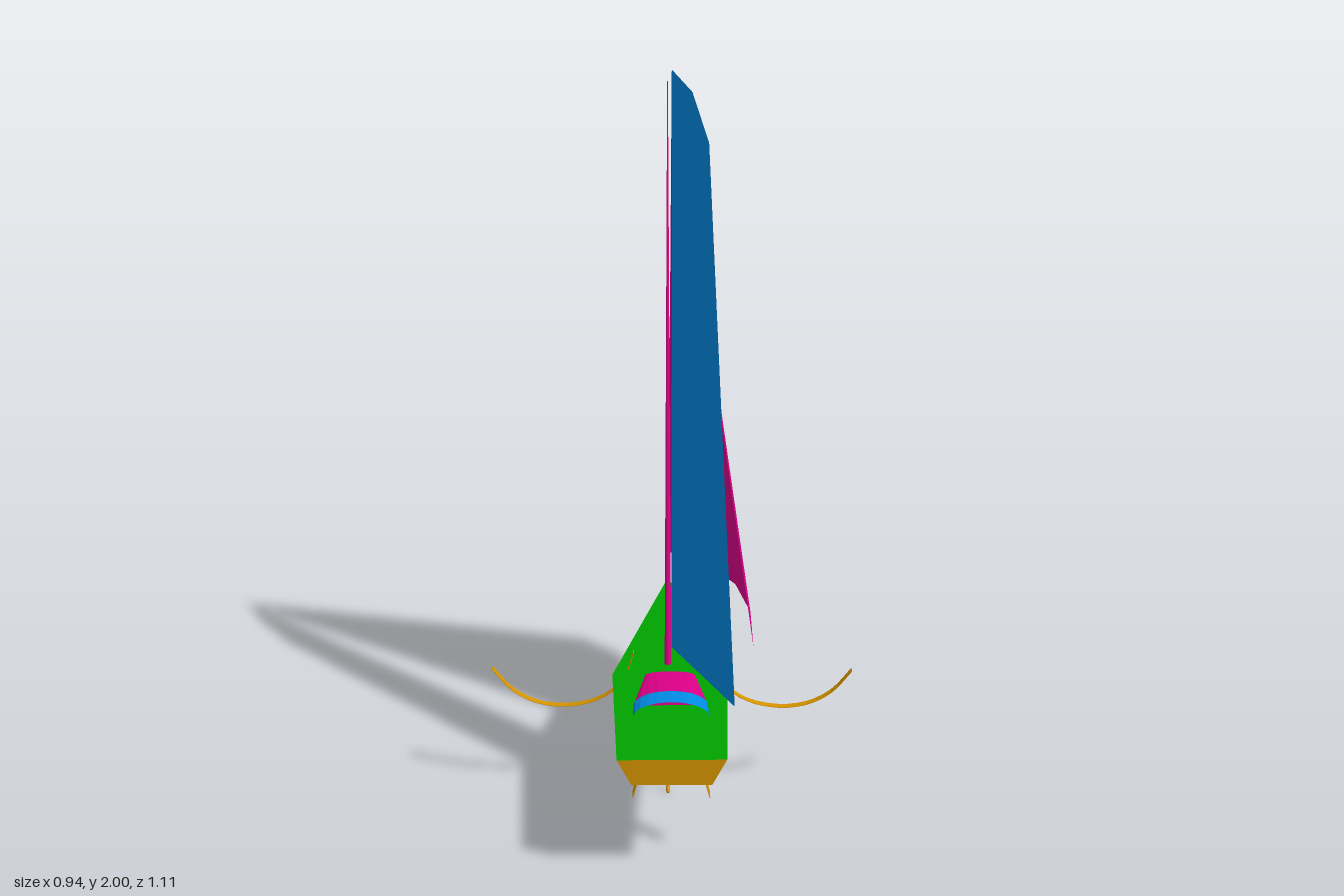
import * as THREE from 'three';

const mat = (name, color, side = THREE.FrontSide) => {
  const m = new THREE.MeshStandardMaterial({ color, side });
  m.name = name;
  return m;
};

// flat-shaded geometry from a list of corner points, three per face
function facets(points) {
  const g = new THREE.BufferGeometry();
  g.setAttribute('position', new THREE.Float32BufferAttribute(points.flat(), 3));
  g.computeVertexNormals();
  return g;
}

// triangles from the first point to each following pair
function fan(p) {
  const out = [];
  for (let i = 1; i < p.length - 1; i++) out.push(p[0], p[i], p[i + 1]);
  return out;
}

// skin between cross-sections running from +z to -z
function skin(sections) {
  const out = [];
  for (let i = 0; i < sections.length - 1; i++) {
    const s = sections[i], t = sections[i + 1];
    for (let j = 0; j < s.length - 1; j++) out.push(s[j], t[j], t[j + 1], s[j], t[j + 1], s[j + 1]);
  }
  return out;
}

export function createModel() {
  const group = new THREE.Group();
  const D = THREE.DoubleSide;
  const gold = mat('gold', 0xd69400, D);
  const green = mat('green', 0x00a500, D);
  const blue = mat('blue', 0x008ce4, D);
  const magenta = mat('magenta', 0xe2008c, D);
  const add = (name, geo, material) => {
    const m = new THREE.Mesh(geo, material);
    m.name = name;
    group.add(m);
    return m;
  };
  const cx = -0.005, deckY = 0.39;

  // hull: [z top, z bottom, half width top, half width bottom, bottom y]
  const stations = [
    [0.555, 0.55, 0.136, 0.1, 0.315],
    [0.132, 0.1, 0.15, 0.113, 0.293],
    [-0.385, -0.38, 0.007, 0.005, 0.3],
  ].map(([zt, zb, wt, wb, y]) => [
    [cx - wt, deckY, zt], [cx - wb, y, zb], [cx + wb, y, zb], [cx + wt, deckY, zt],
  ]);
  add('hull', facets([...skin(stations), ...fan(stations[0]), ...fan([...stations[2]].reverse())]), gold);

  // deck, drawn out to a thin bowsprit
  const bow = stations[2];
  add('deck', facets([
    ...skin(stations.map(s => [s[3], s[0]])),
    bow[3], [-0.003, deckY, -0.555], bow[0],
  ]), green);

  // mast
  const mast = add('mast', new THREE.CylinderGeometry(0.001, 0.009, 1.58, 10), magenta);
  mast.position.set(-0.01, 1.18, 0.074);

  // mainsail: upright and swung out to the left, corners given as [z, y]
  const head = [0, 2, 0.077];
  add('mainsail', facets(fan(
    [[0.077, 2], [0.183, 1.977], [0.267, 1.88], [0.42, 0.461], [0.077, 0.44]]
      .map(([z, y]) => [0.446 * (z - head[2]), y, z]),
  )), blue);

  // jib, fanned from the masthead
  add('jib', facets(fan([
    head, [0.215, 0.422, 0.047], [0.215, 0.415, -0.16], [0.18, 0.408, -0.335],
    [0.105, 0.402, -0.467], [-0.003, 0.397, -0.555],
  ])), magenta);

  // arched cabin with a rear wall set in under the open hood
  const arch = (z, w, h) => Array.from({ length: 11 }, (_, i) => {
    const a = Math.PI * i / 10;
    return [cx + w * Math.cos(a), deckY + h * Math.sin(a), z];
  });
  const rear = arch(0.29, 0.095, 0.042);
  add('cabin', facets([...skin([rear, arch(0.137, 0.065, 0.012)]), ...fan(rear)]), magenta);
  add('cabinHood', facets(skin([arch(0.347, 0.096, 0.042), rear])), blue);

  // curved side foils
  for (const s of [1, -1]) {
    const path = [[0.1, 0.44], [0.118, 0.38], [0.15, 0.33], [0.21, 0.292], [0.29, 0.277], [0.36, 0.288], [0.42, 0.323], [0.47, 0.385]];
    const curve = new THREE.CatmullRomCurve3(path.map(([x, y]) => new THREE.Vector3(s * x, y, 0)));
    const upper = [], lower = [];
    for (let i = 0; i <= 20; i++) {
      const p = curve.getPoint(i / 20), t = curve.getTangent(i / 20);
      upper.push(new THREE.Vector2(p.x - t.y * 0.0008, p.y + t.x * 0.0008));
      lower.unshift(new THREE.Vector2(p.x + t.y * 0.0008, p.y - t.x * 0.0008));
    }
    const geo = new THREE.ExtrudeGeometry(new THREE.Shape([...upper, ...lower]), { depth: 0.018, bevelEnabled: false });
    geo.translate(0, 0, -0.009);
    const foil = add(s > 0 ? 'leftFoil' : 'rightFoil', geo, gold);
    foil.position.z = s > 0 ? 0.104 : 0.106;
    if (s < 0) foil.rotation.y = -0.05;
  }

  // canted twin rudders
  const blade = new THREE.Shape([[0.36, 0.01], [0.412, 0.01], [0.416, -0.125], [0.385, -0.125]].map(p => new THREE.Vector2(...p)));
  for (const s of [1, -1]) {
    const geo = new THREE.ExtrudeGeometry(blade, { depth: 0.002, bevelEnabled: false });
    geo.translate(0, 0, -0.001).rotateY(-Math.PI / 2);
    const rudder = add(s > 0 ? 'leftRudder' : 'rightRudder', geo, gold);
    rudder.position.set(cx + s * 0.067, 0.313, 0);
    rudder.rotation.z = s * 0.25;
  }

  // keel strut and bulb
  add('keel', new THREE.BoxGeometry(0.005, 0.29, 0.005), gold).position.set(-0.01, 0.155, 0.08);
  const bulb = add('keelBulb', new THREE.SphereGeometry(1, 10, 6), gold);
  bulb.scale.set(0.006, 0.01, 0.019);
  bulb.position.set(-0.01, 0.01, 0.08);

  return group;
}
